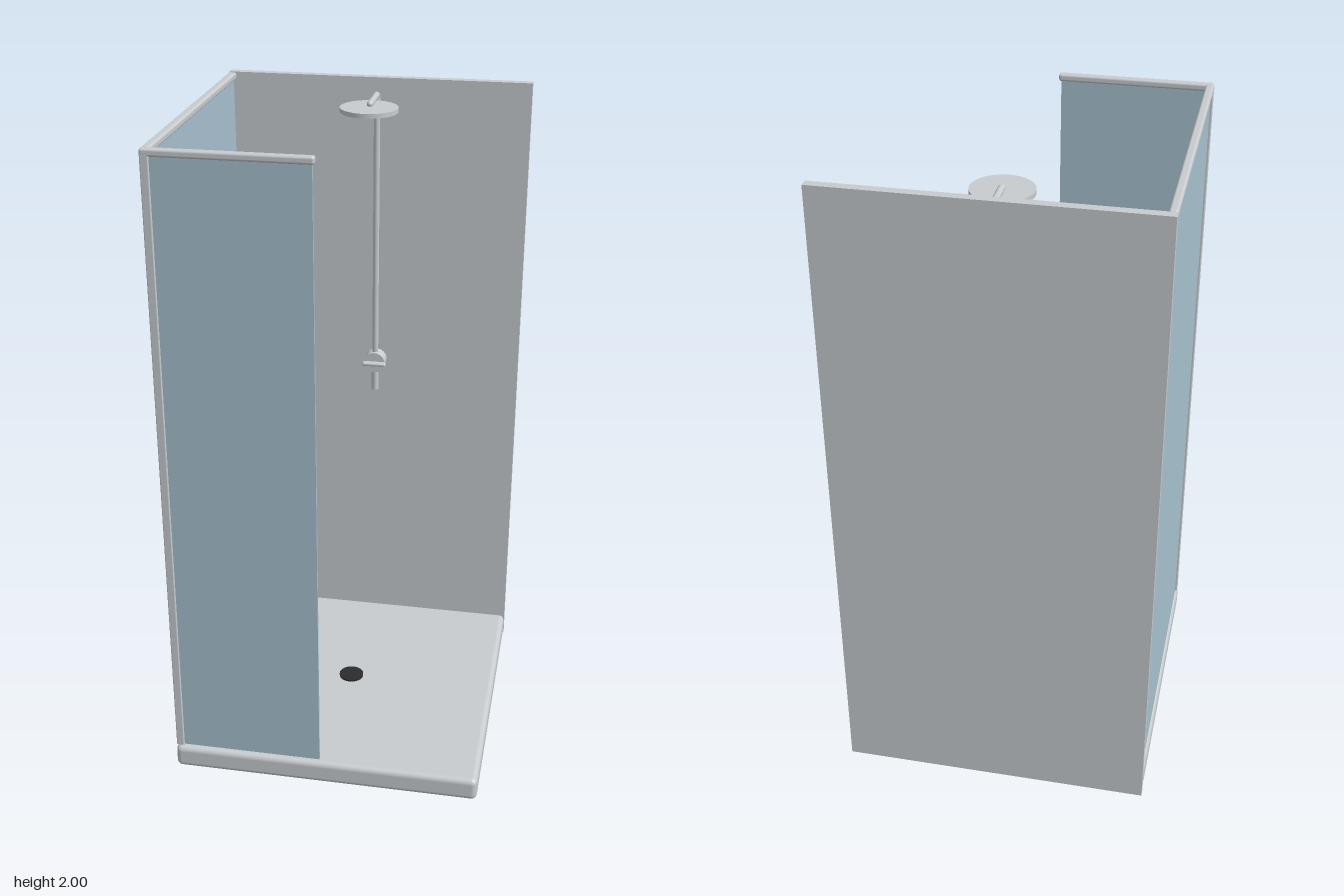
import * as THREE from 'three';
import { RoundedBoxGeometry } from 'three/addons/geometries/RoundedBoxGeometry.js';

export function createModel() {
  const model = new THREE.Group();
  model.name = 'showerEnclosure';

  const material = (name, color) => {
    const m = new THREE.MeshStandardMaterial({ color });
    m.name = name;
    return m;
  };
  const grey = material('lightGrey', 0xc8cccf);
  const glass = material('blueGlass', 0xa7c1cf);
  const dark = material('darkDrain', 0x2c2c2e);

  const add = (name, geometry, mat, parent = model) => {
    const mesh = new THREE.Mesh(geometry, mat);
    mesh.name = name;
    parent.add(mesh);
    return mesh;
  };
  // Boxes given by their minimum and maximum corners; a radius rounds the edges
  const box = (name, mat, [x0, y0, z0], [x1, y1, z1], radius = 0) => {
    const size = [x1 - x0, y1 - y0, z1 - z0];
    const geometry = radius
      ? new RoundedBoxGeometry(...size, 4, radius)
      : new THREE.BoxGeometry(...size);
    geometry.translate((x0 + x1) / 2, (y0 + y1) / 2, (z0 + z1) / 2);
    return add(name, geometry, mat);
  };

  // Back wall, tray and drain
  box('backWall', grey, [-0.478, 0, -0.49], [0.478, 2, -0.462], 0);
  box('tray', grey, [-0.478, 0.004, -0.46], [0.478, 0.08, 0.488], 0.018);
  add('drain', new THREE.CylinderGeometry(0.04, 0.04, 0.008, 48), dark).position.set(0, 0.082, 0.008);

  // Glass screens
  box('sideGlass', glass, [-0.47, 0.08, -0.446], [-0.46, 1.984, 0.456]);
  box('frontGlass', glass, [-0.456, 0.08, 0.458], [-0.018, 1.984, 0.468]);

  // Frame: corner post and top rails
  box('cornerPost', grey, [-0.477, 0.08, 0.452], [-0.453, 1.985, 0.476], 0.003);
  box('sideRail', grey, [-0.478, 1.978, -0.457], [-0.453, 2, 0.476], 0.007);
  box('frontRail', grey, [-0.478, 1.978, 0.451], [-0.011, 2, 0.476], 0.007);

  // Shower fittings
  const shower = new THREE.Group();
  shower.name = 'shower';
  model.add(shower);
  const barZ = -0.438;

  // Riser and arm as one bent pipe
  const pipe = new THREE.CurvePath();
  const v = (y, z) => new THREE.Vector3(0, y, z);
  pipe.add(new THREE.LineCurve3(v(1.05, barZ), v(1.942, barZ)));
  pipe.add(new THREE.QuadraticBezierCurve3(v(1.942, barZ), v(1.953, barZ), v(1.953, barZ + 0.011)));
  pipe.add(new THREE.LineCurve3(v(1.953, barZ + 0.011), v(1.953, -0.3)));
  add('riserPipe', new THREE.TubeGeometry(pipe, 160, 0.01, 16), grey, shower);
  const armEnd = add('armEnd', new THREE.SphereGeometry(0.01, 16, 12), grey, shower);
  armEnd.position.set(0, 1.953, -0.305);

  // Round head
  const head = add('showerHead', new THREE.CylinderGeometry(0.089, 0.089, 0.014, 64), grey, shower);
  head.position.set(0, 1.941, -0.29);

  // Mixer body, lever and lower outlet
  const mixer = add('mixerBody', new THREE.CylinderGeometry(0.035, 0.035, 0.044, 40), grey, shower);
  mixer.rotation.x = Math.PI / 2;
  mixer.position.set(0, 1.053, -0.44);
  const lever = add('mixerLever', new RoundedBoxGeometry(0.078, 0.012, 0.022, 4, 0.005), grey, shower);
  lever.position.set(0.001, 1.053, -0.408);
  const outlet = add('outletPipe', new THREE.CylinderGeometry(0.012, 0.012, 0.09, 24), grey, shower);
  outlet.position.set(0, 0.995, barZ);

  return model;
}
